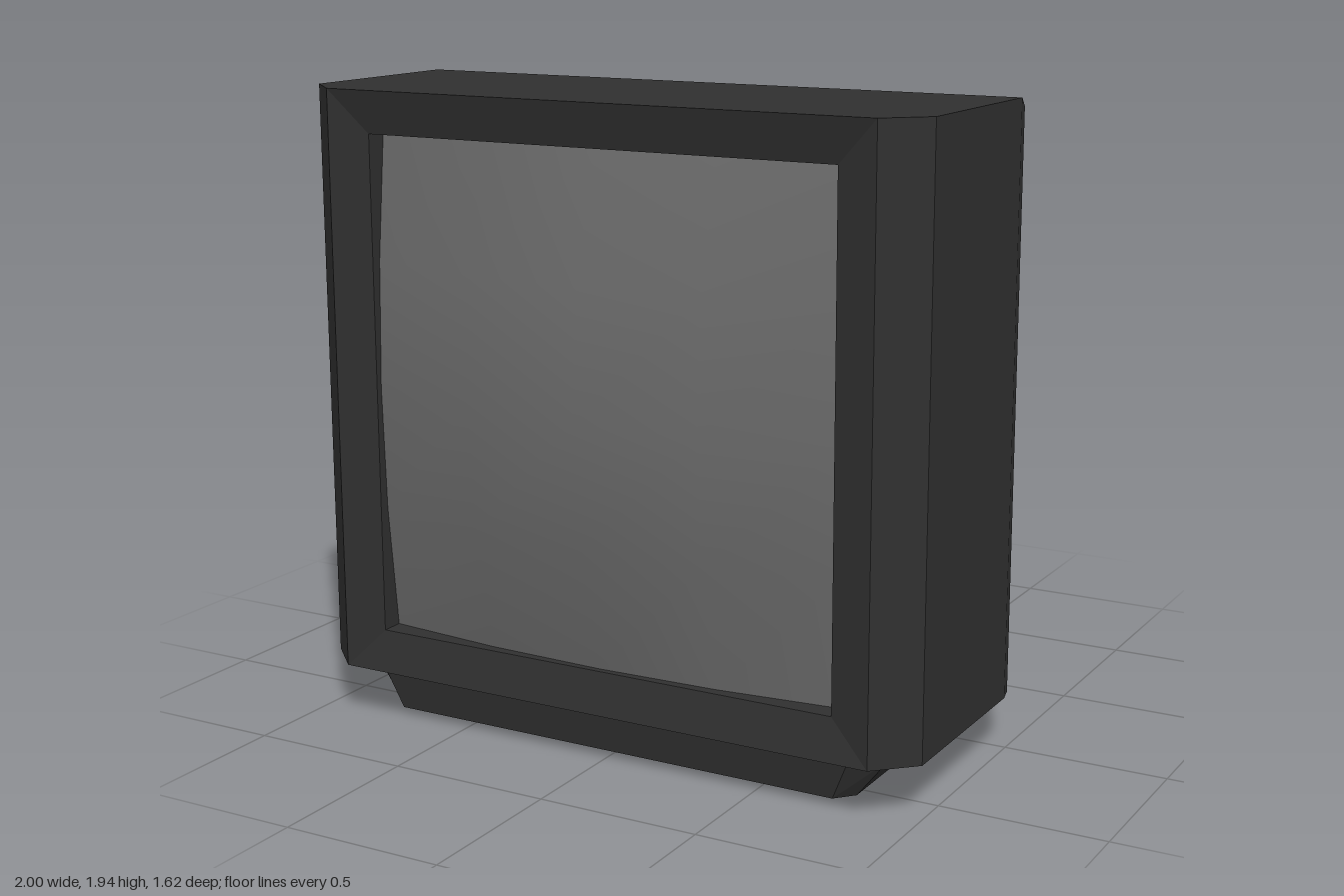
import * as THREE from 'three';

const caseMaterial = new THREE.MeshStandardMaterial({ color: 0x303030, flatShading: true });
const screenMaterial = new THREE.MeshStandardMaterial({ color: 0x6c6c6c });

// Flat-sided mesh from quads, corners counter-clockwise as seen from outside
function quadMesh(name, quads) {
  const pos = [];
  for (const [a, b, c, d] of quads) pos.push(...a, ...b, ...c, ...a, ...c, ...d);
  const geo = new THREE.BufferGeometry();
  geo.setAttribute('position', new THREE.Float32BufferAttribute(pos, 3));
  geo.computeVertexNormals();
  const mesh = new THREE.Mesh(geo, caseMaterial);
  mesh.name = name;
  return mesh;
}

const mirrored = ([x, y, z]) => [-x, y, z];

// A half outline (front to back on +x) and its mirror image make a full ring
const ring = (half) => [...half, ...half.map(mirrored).reverse()];

// Walls between two rings, lower one first
function walls(lower, upper, closeFront = true) {
  const a = ring(lower), b = ring(upper), n = a.length, quads = [];
  for (let i = 0; i < (closeFront ? n : n - 1); i++) {
    const j = (i + 1) % n;
    quads.push([a[i], a[j], b[j], b[i]]);
  }
  return quads;
}

// Strips across a half outline and its mirror image
function cap(half, up) {
  const quads = [];
  for (let i = 0; i < half.length - 1; i++) {
    const q = [half[i], half[i + 1], mirrored(half[i + 1]), mirrored(half[i])];
    quads.push(up ? q : q.reverse());
  }
  return quads;
}

// Rectangular ring facing the front
const frame = (w, y0, y1, z) => [[-w, y0, z], [w, y0, z], [w, y1, z], [-w, y1, z]];

export function createModel() {
  const group = new THREE.Group();

  // Housing: chamfered front, tapered back, sloping top
  const top = [[0.885, 1.94, 0.73], [1, 1.94, 0.62], [1, 1.94, 0.02], [0.985, 1.91, -0.04], [0.65, 1.25, -0.81]];
  const bottomY = [0.165, 0.165, 0.165, 0.164, 0.145];
  const bottom = top.map(([x, , z], i) => [x, bottomY[i], z]);
  group.add(quadMesh('housing', [...walls(bottom, top, false), ...cap(top, true)]));

  // Lip under the housing and the tapered base
  const lip = [[0.79, 0.14, 0.66], [0.88, 0.14, 0.58], [0.88, 0.14, 0.02], [0.87, 0.139, -0.03], [0.59, 0.12, -0.735]];
  const foot = [[0.74, 0.025, 0.645], [0.79, 0.025, 0.59], [0.79, 0.025, 0.02], [0.78, 0.024, -0.03], [0.54, 0.003, -0.71]];
  group.add(quadMesh('lowerLip', walls(lip, bottom)));
  group.add(quadMesh('base', [...walls(foot, lip), ...cap(foot, false)]));

  // Bezel: sloping frame, then the inner wall behind it
  const steps = [frame(0.885, 0.165, 1.94, 0.73), frame(0.76, 0.29, 1.81, 0.7), frame(0.76, 0.29, 1.81, 0.6)];
  const bezel = [];
  for (let s = 0; s < 2; s++) {
    for (let i = 0; i < 4; i++) {
      const j = (i + 1) % 4;
      bezel.push([steps[s][i], steps[s][j], steps[s + 1][j], steps[s + 1][i]]);
    }
  }
  group.add(quadMesh('bezel', bezel));

  // Bulging screen
  const geo = new THREE.PlaneGeometry(1.52, 1.52, 4, 4);
  const p = geo.attributes.position;
  for (let i = 0; i < p.count; i++) {
    const u = (p.getX(i) / 0.76) ** 2, v = (p.getY(i) / 0.76) ** 2;
    p.setZ(i, 0.81 - 0.13 * (u + v) + 0.08 * u * v);
  }
  geo.computeVertexNormals();
  const screen = new THREE.Mesh(geo, screenMaterial);
  screen.name = 'screen';
  screen.position.y = 1.05;
  group.add(screen);

  return group;
}
